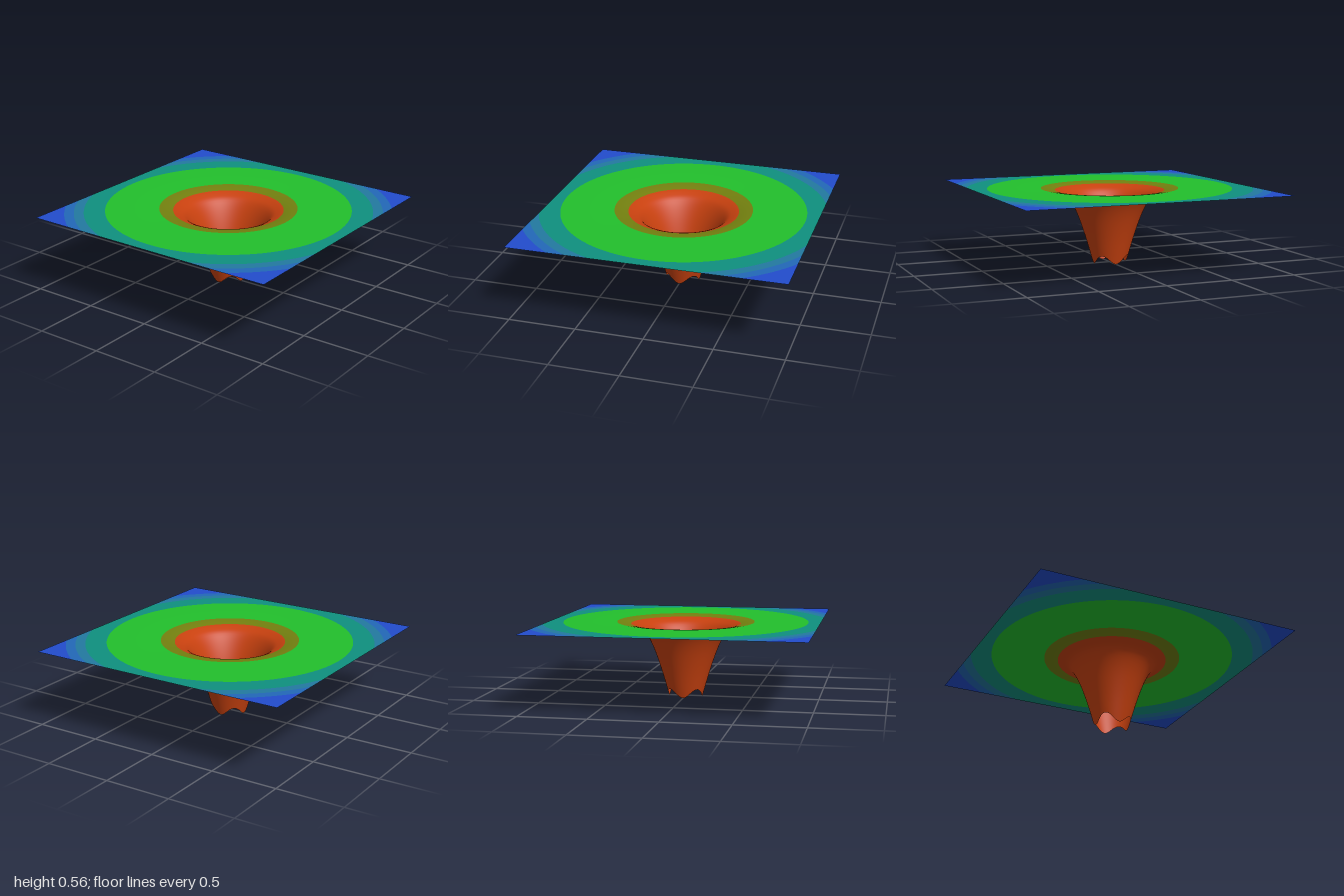
import * as THREE from 'three';

const TAU = Math.PI * 2;
const SEGMENTS = 256;

// Height of the sheet against distance from the centre
const heights = new THREE.CubicInterpolant(
  [0.125, 0.1875, 0.25, 0.3125, 0.375, 0.4375, 0.5, 0.5625, 0.625],
  [0, 0.213, 0.385, 0.497, 0.537, 0.554, 0.562, 0.565, 0.565], 1);
const heightAt = (r) => (r >= 0.5625 ? 0.565 : heights.evaluate(r)[0]);

// Rounded-square opening at the foot of the funnel, square outer rim
const holeRadius = (a) => 0.125 + 0.018 * Math.sin(2 * a) ** 2;
const rimRadius = (a) => 1 / Math.max(Math.abs(Math.cos(a)), Math.abs(Math.sin(a)));

// Ring of the sheet between two radii, trimmed by the opening and the rim
function ringGeometry(inner, outer, rows) {
  const positions = [], index = [], radii = [];
  for (let j = 0; j <= rows; j++) {
    for (let i = 0; i < SEGMENTS; i++) {
      const a = (i / SEGMENTS) * TAU;
      const start = Math.max(inner, holeRadius(a));
      const r = Math.min(start + (outer - start) * (j / rows), rimRadius(a));
      radii.push(r);
      positions.push(r * Math.cos(a), heightAt(r), r * Math.sin(a));
    }
  }
  for (let j = 0; j < rows; j++) {
    for (let i = 0; i < SEGMENTS; i++) {
      const a = j * SEGMENTS + i, b = j * SEGMENTS + (i + 1) % SEGMENTS;
      const c = a + SEGMENTS, d = b + SEGMENTS;
      if (radii[c] - radii[a] > 1e-5) index.push(a, b, c);
      if (radii[d] - radii[b] > 1e-5) index.push(b, d, c);
    }
  }
  const geometry = new THREE.BufferGeometry();
  geometry.setAttribute('position', new THREE.Float32BufferAttribute(positions, 3));
  geometry.setIndex(index);
  geometry.computeVertexNormals();
  return geometry;
}

export function createModel() {
  const group = new THREE.Group();
  group.name = 'funnelSheet';

  // Coloured bands from the funnel out to the corners
  const bands = [
    ['funnel', 'orange', 0xc8410f, 0, 0.41, 20],
    ['funnelLip', 'olive', 0x73800f, 0.41, 0.513, 6],
    ['innerSheet', 'green', 0x22c02c, 0.513, 0.912, 4],
    ['middleSheet', 'teal', 0x0f907f, 0.912, 1.068, 1],
    ['outerSheet', 'steelBlue', 0x2279a0, 1.068, 1.14, 1],
    ['cornerBand', 'mediumBlue', 0x2268b8, 1.14, 1.21, 1],
    ['corners', 'blue', 0x224ccc, 1.21, 1.5, 1],
  ];
  for (const [part, colourName, color, inner, outer, rows] of bands) {
    const material = new THREE.MeshStandardMaterial({ color, side: THREE.DoubleSide });
    material.name = colourName;
    const mesh = new THREE.Mesh(ringGeometry(inner, outer, rows), material);
    mesh.name = part;
    group.add(mesh);
  }
  return group;
}
